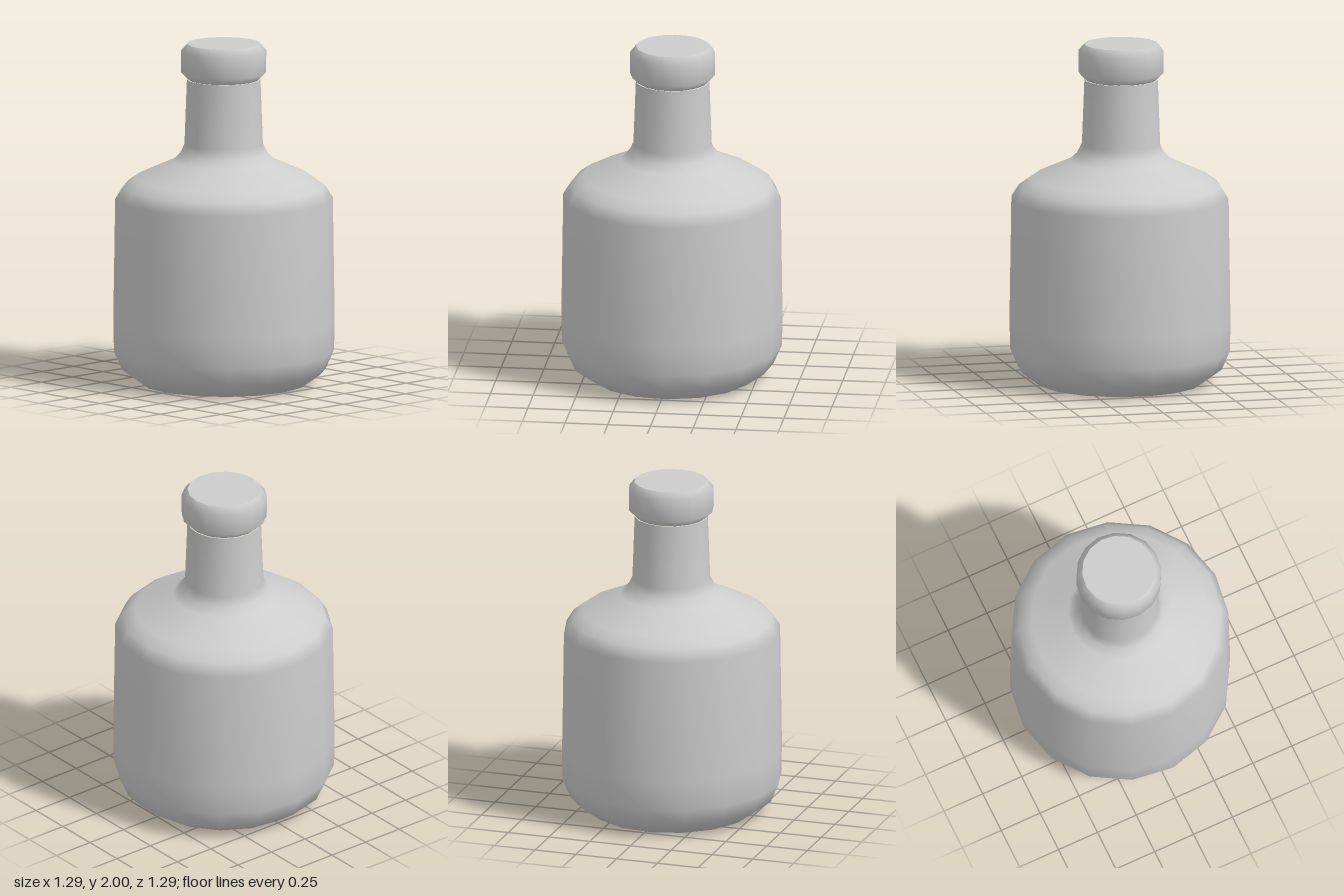
import * as THREE from 'three';

const SIDES = 16;
const TURN = THREE.MathUtils.degToRad(3.6);

export function createModel() {
  const grey = new THREE.MeshStandardMaterial({ color: 0xcccccc });
  grey.name = 'plain grey';
  const bottle = new THREE.Group();
  bottle.name = 'bottle';

  // Turns a [radius, height] profile; the upper part sits slightly off the axis
  function addTurned(name, profile) {
    const points = profile.map(([r, y]) => new THREE.Vector2(r, y));
    const geometry = new THREE.LatheGeometry(points, SIDES, TURN);
    const pos = geometry.attributes.position;
    for (let i = 0; i < pos.count; i++) {
      const t = THREE.MathUtils.smoothstep(pos.getY(i), 1.2, 1.45);
      pos.setX(i, pos.getX(i) + 0.003 * t);
      pos.setZ(i, pos.getZ(i) - 0.006 * t);
    }
    const mesh = new THREE.Mesh(geometry, grey);
    mesh.name = name;
    bottle.add(mesh);
  }

  // Body, shoulder and neck in one smooth skin, with a soft base edge
  addTurned('bodyAndNeck', [
    [0, 0], [0.48, 0], [0.592, 0.08], [0.64, 0.19], [0.644, 0.36],
    [0.633, 1.09], [0.59, 1.16], [0.52, 1.21], [0.3, 1.31],
    [0.255, 1.355], [0.228, 1.41], [0.214, 1.79],
  ]);

  // Stopper band with bevelled edges
  addTurned('stopperBand', [
    [0.207, 1.79], [0.247, 1.83], [0.248, 1.96], [0.214, 2],
  ]);

  // Flat stopper top and underside, kept sharp
  addTurned('stopperTop', [[0.214, 2], [0, 2]]);
  addTurned('stopperUnderside', [[0, 1.79], [0.207, 1.79]]);

  return bottle;
}
